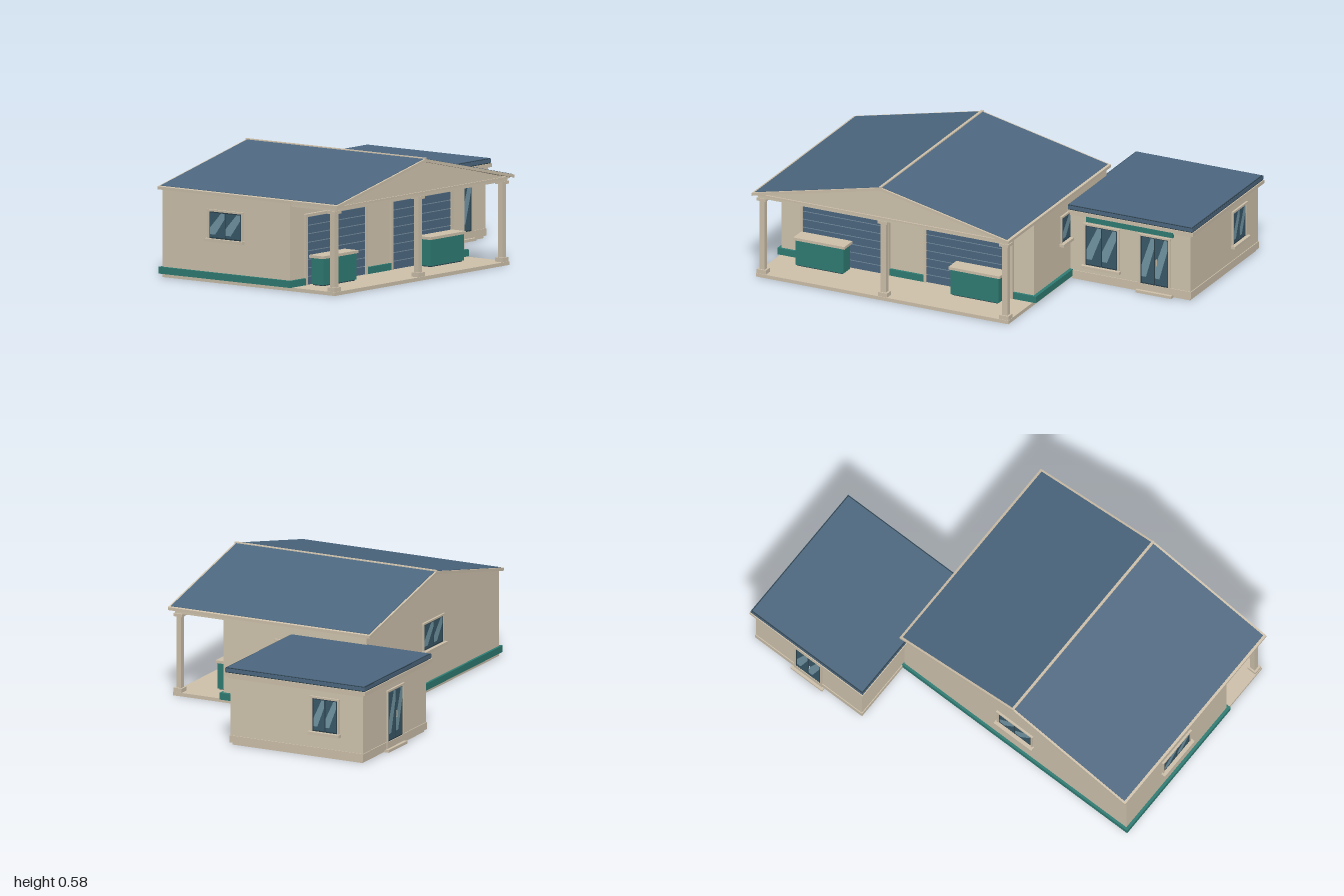
import * as THREE from 'three';

const mat = (color, side = THREE.FrontSide) => new THREE.MeshStandardMaterial({ color, side });
const WALL = mat(0xd2c6b0), TRIM = mat(0xcfc2ac), BLUE = mat(0x4d6880), TEAL = mat(0x2f7d74);
const DARK = mat(0x2b3f4a), GLASS = mat(0x3a5a6a), SHINE = mat(0x7397a6, THREE.DoubleSide), LINE = mat(0x7d95a5);

// Box given by its minimum and maximum on each axis
function box(parent, name, material, x0, x1, y0, y1, z0, z1) {
  const m = new THREE.Mesh(new THREE.BoxGeometry(x1 - x0, y1 - y0, z1 - z0), material);
  m.position.set((x0 + x1) / 2, (y0 + y1) / 2, (z0 + z1) / 2);
  m.name = name;
  parent.add(m);
  return m;
}

// Outline in x, y pushed along z from z0 to z1
function prism(parent, name, material, points, z0, z1) {
  const shape = new THREE.Shape(points.map(p => new THREE.Vector2(...p)));
  const g = new THREE.ExtrudeGeometry(shape, { depth: z1 - z0, bevelEnabled: false });
  const m = new THREE.Mesh(g, material);
  m.position.z = z0;
  m.name = name;
  parent.add(m);
}

// Casing of two jambs and a head around an opening that starts at y = 0
function casing(parent, w, h, t, depth) {
  for (const s of [-1, 1]) {
    const a = s * w / 2, b = s * (w / 2 + t);
    box(parent, 'jamb', TRIM, Math.min(a, b), Math.max(a, b), 0, h, 0, depth);
  }
  box(parent, 'head', TRIM, -w / 2 - t * 1.3, w / 2 + t * 1.3, h, h + t, 0, depth + 0.003);
}

// Glazed opening in a wall; local +z points out of the wall
function glazing(parent, name, w, h, pos, turn, sill = true) {
  const g = new THREE.Group();
  g.name = name;
  g.position.set(...pos);
  g.rotation.y = turn;
  parent.add(g);
  casing(g, w, h, 0.009, 0.007);
  box(g, 'sash', DARK, -w / 2, w / 2, 0, h, 0, 0.003);
  const f = 0.006, pane = w / 2 - 1.5 * f;
  for (const s of [-1, 1]) {
    const c = s * (w / 4 - f / 4);
    const x0 = c - pane / 2, x1 = c + pane / 2;
    box(g, 'pane', GLASS, x0, x1, f, h - f, 0, 0.004);
    // Diagonal reflection on the glass
    const streak = new THREE.Shape([[x0, h * 0.15], [x0 + pane * 0.35, h * 0.15], [x1, h * 0.75],
      [x1, h - f], [x1 - pane * 0.25, h - f], [x0, h * 0.4]].map(p => new THREE.Vector2(...p)));
    const m = new THREE.Mesh(new THREE.ShapeGeometry(streak), SHINE);
    m.position.z = 0.0048;
    m.name = 'reflection';
    g.add(m);
  }
  if (sill) box(g, 'sill', TRIM, -w / 2 - 0.017, w / 2 + 0.017, -0.014, 0, 0, 0.022);
  else box(g, 'doorHandle', TRIM, 0.008, 0.012, h * 0.42, h * 0.55, 0.004, 0.009);
}

function workshop() {
  const g = new THREE.Group();
  g.name = 'workshop';
  const L = -0.97, R = 0.343, MID = -0.313, BACK = -0.354, FRONT = 0.4;

  box(g, 'floorSlab', TRIM, L, R, 0, 0.017, BACK, 0.664);
  box(g, 'walls', WALL, L, R, 0.017, 0.41, BACK, FRONT);

  // Gable block, carried over the porch
  prism(g, 'gable', WALL, [[L + 0.01, 0.395], [R - 0.01, 0.395], [R - 0.01, 0.412], [MID, 0.562], [L + 0.01, 0.412]], BACK, 0.66);
  box(g, 'porchBeam', TRIM, L, R, 0.408, 0.417, BACK, 0.667);

  // Pitched roof: pale edge boards with blue sheets laid on top
  const chevron = (half, lift, eave, t) => [[MID - half, eave + lift], [MID - half, eave + lift - t],
    [MID, 0.572 + lift - t], [MID + half, eave + lift - t], [MID + half, eave + lift], [MID, 0.572 + lift]];
  prism(g, 'roofEdge', TRIM, chevron(0.667, 0, 0.425, 0.014), -0.376, 0.686);
  prism(g, 'roofSheets', BLUE, chevron(0.655, 0.002, 0.4276, 0.01), -0.366, 0.676);
  prism(g, 'ridgeCap', TRIM, [[MID - 0.007, 0.57], [MID + 0.007, 0.57], [MID + 0.006, 0.577], [MID - 0.006, 0.577]], -0.376, 0.686);

  // Coloured plinth: back, sides and the stretches between the shutters
  const P0 = 0.017, P1 = 0.049;
  box(g, 'plinth', TEAL, L - 0.014, R + 0.017, P0, P1, BACK - 0.012, BACK + 0.01);
  box(g, 'plinth', TEAL, L - 0.014, L + 0.01, P0, P1, BACK, FRONT + 0.012);
  box(g, 'plinth', TEAL, R - 0.01, R + 0.017, P0, P1, BACK, FRONT + 0.012);
  for (const [a, b] of [[L, -0.866], [-0.402, -0.223], [0.24, R]])
    box(g, 'plinth', TEAL, a, b, P0, P1, FRONT - 0.01, FRONT + 0.012);

  // Roller shutters
  for (const cx of [-0.634, 0.008]) {
    const d = new THREE.Group();
    d.name = 'rollerShutter';
    d.position.set(cx, 0.017, FRONT);
    g.add(d);
    const w = 0.438, h = 0.32, n = 8, s = h / n;
    casing(d, w, h, 0.013, 0.014);
    for (let i = 0; i < n; i++) {
      box(d, 'slat', BLUE, -w / 2, w / 2, i * s, (i + 1) * s - 0.004, 0, 0.006);
      box(d, 'slatJoint', LINE, -w / 2, w / 2, (i + 1) * s - 0.004, (i + 1) * s, 0, 0.004);
    }
  }

  // Porch posts
  for (const x of [-0.943, MID, 0.318]) {
    const p = new THREE.Group();
    p.name = 'porchPost';
    p.position.set(x, 0, 0.64);
    g.add(p);
    box(p, 'base', TRIM, -0.024, 0.024, 0.017, 0.037, -0.021, 0.021);
    box(p, 'shaft', TRIM, -0.014, 0.014, 0.037, 0.382, -0.013, 0.013);
    box(p, 'capital', TRIM, -0.024, 0.024, 0.382, 0.396, -0.023, 0.023);
  }

  // Service counters on the porch
  for (const x of [-0.722, 0.085]) {
    box(g, 'counterBody', TEAL, x - 0.125, x + 0.125, 0.022, 0.146, 0.43, 0.5);
    box(g, 'counterFoot', DARK, x - 0.118, x + 0.118, 0.017, 0.022, 0.435, 0.495);
    box(g, 'counterTop', TRIM, x - 0.133, x + 0.133, 0.146, 0.159, 0.422, 0.506);
  }

  glazing(g, 'leftWindow', 0.19, 0.127, [R, 0.208, 0.02], Math.PI / 2);
  glazing(g, 'rightWindow', 0.19, 0.127, [L, 0.208, 0.02], -Math.PI / 2);
  glazing(g, 'backWindow', 0.19, 0.127, [MID, 0.208, BACK], Math.PI);
  return g;
}

function annex() {
  const g = new THREE.Group();
  g.name = 'annex';
  const L = 0.347, R = 0.972, BACK = -0.668, FRONT = 0.028;

  // Stacked layers that grow outward from the wall line by e
  const layer = (name, m, e, y0, y1) => box(g, name, m, L - e, R + e, y0, y1, BACK - e, FRONT + e);
  layer('floorSlab', TRIM, -0.006, 0, 0.015);
  layer('walls', WALL, 0, 0.012, 0.35);
  layer('baseBand', TRIM, 0.004, 0.012, 0.046);
  layer('lowerCornice', TRIM, 0.008, 0.322, 0.334);
  layer('cornice', TRIM, 0.022, 0.334, 0.351);
  layer('roofRim', DARK, 0.017, 0.351, 0.374);
  layer('roofEdge', BLUE, 0.0185, 0.355, 0.372);
  layer('roofTop', BLUE, 0.012, 0.37, 0.376);

  box(g, 'signBoard', TEAL, 0.435, 0.885, 0.304, 0.331, FRONT, FRONT + 0.014);
  glazing(g, 'frontWindow', 0.165, 0.2, [0.51, 0.084, FRONT], 0);
  glazing(g, 'sideWindow', 0.13, 0.16, [R, 0.124, -0.47], Math.PI / 2);

  // Glazed double doors with a step, front and back
  for (const [x, z, s] of [[0.787, FRONT, 1], [0.66, BACK, -1]]) {
    glazing(g, 'glazedDoor', 0.145, 0.24, [x, 0.046, z + s * 0.002], s > 0 ? 0 : Math.PI, false);
    box(g, 'threshold', TRIM, x - 0.083, x + 0.083, 0.015, 0.046, z - 0.008, z + 0.008);
    box(g, 'step', TRIM, x - 0.093, x + 0.093, 0, 0.013, z - 0.02, z + 0.02);
  }
  return g;
}

export function createModel() {
  const model = new THREE.Group();
  model.name = 'workshopBuilding';
  model.add(workshop(), annex());
  return model;
}
